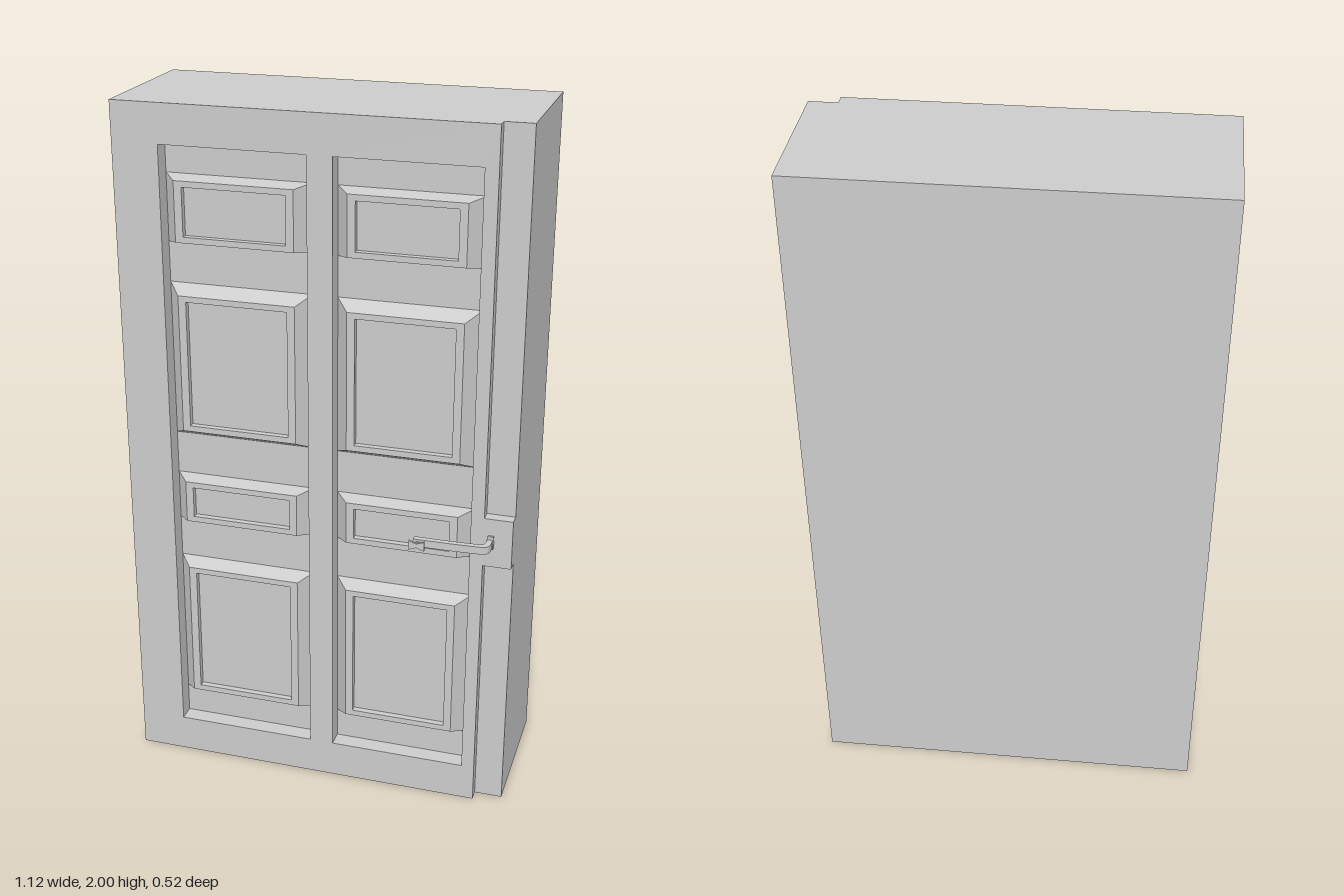
import * as THREE from 'three';

const material = new THREE.MeshStandardMaterial({ color: 0xcccccc, flatShading: true });
const FACE = 0.18, FLOOR = 0.13, STRIP = 0.147, BACK = -0.265;
const columns = [[-0.43, -0.02], [0.05, 0.445]];
// panel rows: bottom, top, bevel height
const rows = [[0.2, 0.655, 0.018], [0.78, 0.925, 0.01], [1.05, 1.5, 0.025], [1.615, 1.805, 0.01]];

function add(parent, name, geometry, x = 0, y = 0, z = 0) {
  const mesh = new THREE.Mesh(geometry, material);
  mesh.name = name;
  mesh.position.set(x, y, z);
  parent.add(mesh);
  return mesh;
}

function box(parent, name, x0, x1, y0, y1, z0, z1) {
  return add(parent, name, new THREE.BoxGeometry(x1 - x0, y1 - y0, z1 - z0),
    (x0 + x1) / 2, (y0 + y1) / 2, (z0 + z1) / 2);
}

function rectangle(Type, x0, x1, y0, y1) {
  return new Type([[x0, y0], [x1, y0], [x1, y1], [x0, y1]].map(([x, y]) => new THREE.Vector2(x, y)));
}

// Nested rectangles [x0, x1, y0, y1, z] joined from outside to inside, then capped
function nestedRectangles(rects) {
  const loops = rects.map(([x0, x1, y0, y1, z]) => [[x0, y0, z], [x1, y0, z], [x1, y1, z], [x0, y1, z]]);
  const points = [];
  const quad = (a, b, c, d) => points.push(...a, ...b, ...c, ...a, ...c, ...d);
  for (let i = 0; i < loops.length - 1; i++) {
    for (let k = 0; k < 4; k++) {
      const n = (k + 1) % 4;
      quad(loops[i][k], loops[i][n], loops[i + 1][n], loops[i + 1][k]);
    }
  }
  quad(...loops[loops.length - 1]);
  const geometry = new THREE.BufferGeometry();
  geometry.setAttribute('position', new THREE.Float32BufferAttribute(points, 3));
  geometry.computeVertexNormals();
  return geometry;
}

// Raised panel: bevelled sides, flat border and a shallow sunken field
function panelGeometry(x0, x1, y0, y1, bevelY) {
  const inset = (dx, dy, z) => [x0 + dx, x1 - dx, y0 + dy, y1 - dy, z];
  const top = FACE - 0.005;
  return nestedRectangles([
    inset(0, 0, FLOOR),
    inset(0.038, bevelY, top),
    inset(0.06, bevelY + 0.017, top),
    inset(0.06, bevelY + 0.017, top - 0.018),
  ]);
}

function createHandle() {
  const handle = new THREE.Group();
  handle.name = 'handle';
  const y = 0.855;
  const collar = add(handle, 'handleCollar', new THREE.CylinderGeometry(0.011, 0.011, 0.018, 12), 0.501, y, 0.188);
  collar.rotation.x = Math.PI / 2;
  box(handle, 'handleRose', 0.494, 0.51, 0.835, 0.875, 0.178, 0.186);

  // Bent lever, drawn from above and extruded upward
  const lever = new THREE.Shape();
  lever.moveTo(0.509, 0.19);
  lever.lineTo(0.509, 0.212);
  lever.quadraticCurveTo(0.509, 0.238, 0.48, 0.238);
  lever.lineTo(0.40, 0.241);
  lever.lineTo(0.298, 0.242);
  lever.lineTo(0.298, 0.225);
  lever.lineTo(0.40, 0.225);
  lever.lineTo(0.475, 0.222);
  lever.quadraticCurveTo(0.493, 0.222, 0.493, 0.205);
  lever.lineTo(0.493, 0.19);
  const leverGeometry = new THREE.ExtrudeGeometry(lever, { depth: 0.022, bevelEnabled: false, curveSegments: 5 });
  leverGeometry.rotateX(Math.PI / 2);
  add(handle, 'lever', leverGeometry, 0, y + 0.011, 0);

  // Small wing fitting at the end of the lever
  const stem = add(handle, 'wingStem', new THREE.CylinderGeometry(0.006, 0.006, 0.018, 10), 0.312, y, 0.248);
  stem.rotation.x = Math.PI / 2;
  const wing = new THREE.Shape([[-0.022, -0.014], [0, -0.006], [0.022, -0.014], [0.022, 0.014], [0, 0.006],
    [-0.022, 0.014]].map(([a, b]) => new THREE.Vector2(a, b)));
  add(handle, 'wing', new THREE.ExtrudeGeometry(wing, { depth: 0.006, bevelEnabled: false }), 0.312, y, 0.254);
  return handle;
}

export function createModel() {
  const door = new THREE.Group();
  door.name = 'door';

  // Thick body and the stepped-back strip along the lock edge
  box(door, 'body', -0.562, 0.562, 0, 2, BACK, FLOOR);
  box(door, 'edgeStrip', 0.482, 0.562, 0, 2, FLOOR, STRIP);

  // Front frame with two tall openings
  const outline = rectangle(THREE.Shape, -0.562, 0.482, 0, 2);
  for (const [x0, x1] of columns) outline.holes.push(rectangle(THREE.Path, x0, x1, 0.11, 1.89));
  add(door, 'frontFrame', new THREE.ExtrudeGeometry(outline, { depth: FACE - FLOOR, bevelEnabled: false }), 0, 0, FLOOR);
  box(door, 'lockBlock', 0.482, 0.562, 0.78, 0.925, STRIP, FACE);

  // Four raised panels in each column
  for (const [x0, x1] of columns) {
    for (const [y0, y1, bevelY] of rows) add(door, 'panel', panelGeometry(x0, x1, y0, y1, bevelY));
  }

  door.add(createHandle());
  return door;
}
